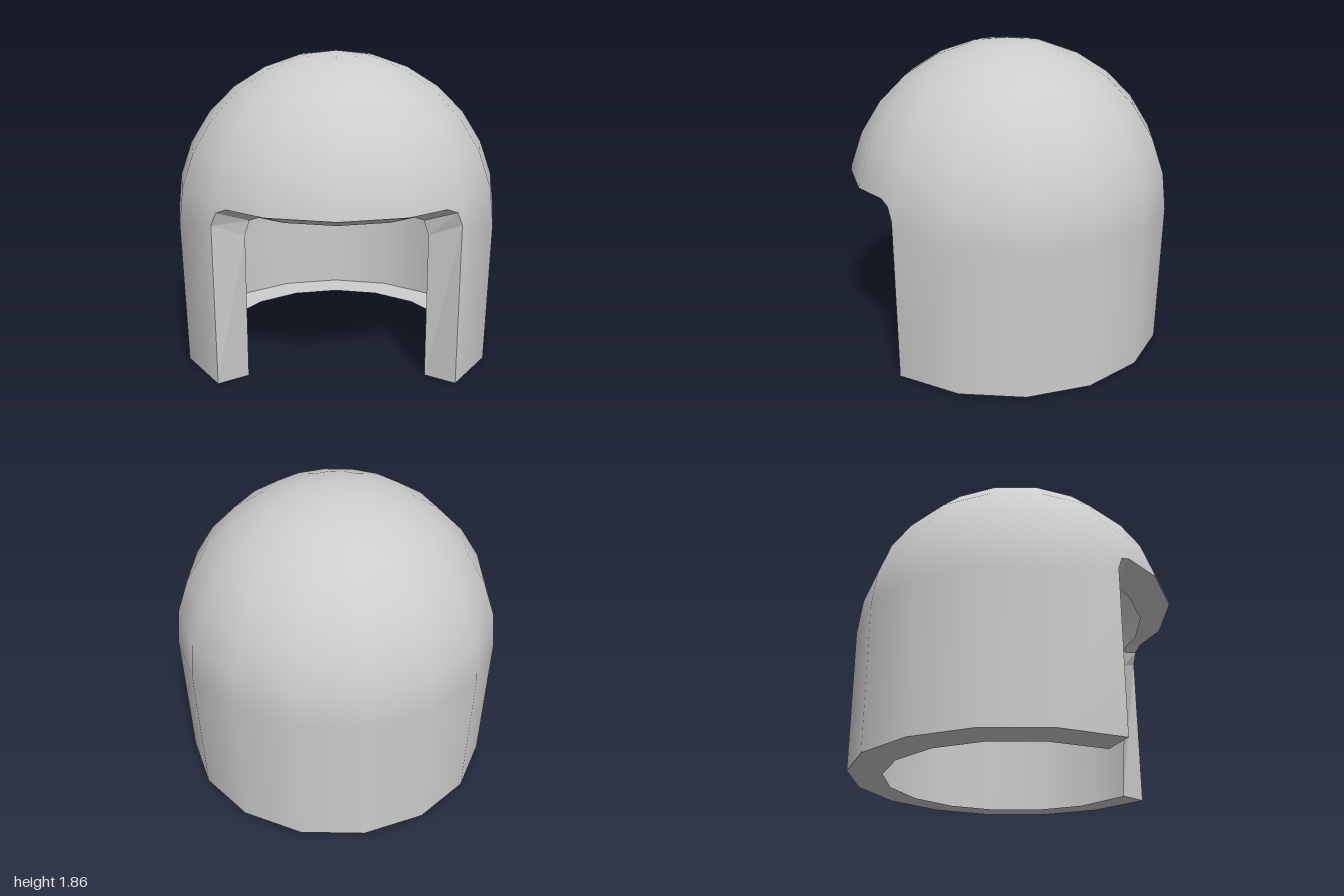
import * as THREE from 'three';

const SPRING = 0.87;               // height where the dome starts
const STEP = Math.PI / 8;          // sixteen-sided plan
const ROWS = 7;                    // dome rings
const DEPTH = 0.2;                 // width of the inward flange
const V = (x, y, z) => new THREE.Vector3(x, y, z);
const rad = THREE.MathUtils.degToRad;

// Shell profile as [radius, height], from the bottom edge to the crown
const PROFILE = [[0.982, 0.008]];
for (let i = 0; i <= ROWS; i++) {
  const e = (i / ROWS) * Math.PI / 2;
  PROFILE.push([i === ROWS ? 0 : Math.cos(e), SPRING + 0.99 * Math.sin(e)]);
}

// Half of the face opening: azimuth, edge point, flange offset
const HALF = [
  [45, [0.688, 0.965, 0.718], [-0.177, -0.075, -0.06]],
  [42, [0.657, 1.043, 0.737], [-0.174, -0.065, -0.075]],
  [38, [0.596, 1.07, 0.772], [-0.167, -0.07, -0.09]],
  [22.5, [0.378, 1.064, 0.909], [-0.09, -0.074, -0.16]],
  [0, [0, 1.062, 0.983], [0, -0.075, -0.185]],
];
const FOOT = [[0.686, 0.008, 0.712], [-0.166, -0.004, -0.112]];

// Edge point and its inner flange point, on the left (1) or right (-1) side
function rimPair(edge, offset, side) {
  const outer = V(edge[0] * side, edge[1], edge[2]);
  return { outer, inner: V(offset[0] * side, offset[1], offset[2]).add(outer) };
}

// Point on the shell, kept on the flat sides of the plan
function shellPoint(a, row) {
  const [r, y] = PROFILE[row];
  const off = a - (Math.floor(a / STEP + 1e-6) + 0.5) * STEP;
  const flat = r * Math.cos(STEP / 2) / Math.cos(off);
  return V(flat * Math.sin(a), y, flat * Math.cos(a) * 0.993 + 0.011);
}

// Columns of shell points: front ones start at the brow, back ones at the foot
const column = (a, firstRow) => {
  const points = [];
  for (let row = firstRow; row < PROFILE.length; row++) points.push(shellPoint(a, row));
  return { a, points };
};
const frontColumn = ([deg, edge, offset], side) => {
  const col = column(rad(deg * side), 1);
  col.rim = rimPair(edge, offset, side);
  col.points[0] = col.rim.outer;
  return col;
};
const FRONT = [
  ...HALF.map((h) => frontColumn(h, -1)),
  ...HALF.slice(0, -1).reverse().map((h) => frontColumn(h, 1)),
];
const BACK = [];
for (let k = 0; k <= 12; k++) {
  const a = rad(45) + k * STEP;
  const col = column(a, 0);
  if (k === 0 || k === 12) {
    const side = k === 0 ? 1 : -1;
    col.rim = rimPair(...FOOT, side);
    col.points[0] = col.rim.outer;
    col.points[1] = rimPair(HALF[0][1], HALF[0][2], side).outer;
  } else {
    const outer = col.points[0];
    col.rim = { outer, inner: V(-DEPTH * Math.sin(a), -0.008, -DEPTH * Math.cos(a)).add(outer) };
  }
  BACK.push(col);
}

// Smooth normal of the shell at an azimuth and height
function shellNormal(a, y) {
  const e = Math.asin(THREE.MathUtils.clamp((y - SPRING) / 0.99, 0, 1));
  return V(Math.sin(a) * Math.cos(e), Math.sin(e), Math.cos(a) * Math.cos(e));
}

function shellGeometry() {
  const pos = [], nor = [];
  const tri = (...corners) => {
    for (const [p, a] of corners) {
      pos.push(...p.toArray());
      nor.push(...shellNormal(a, p.y).toArray());
    }
  };
  for (const cols of [FRONT, BACK]) {
    for (let k = 0; k < cols.length - 1; k++) {
      const l = cols[k], r = cols[k + 1];
      for (let i = 0; i < l.points.length - 1; i++) {
        const a = [l.points[i], l.a], b = [r.points[i], r.a];
        const c = [r.points[i + 1], r.a], d = [l.points[i + 1], l.a];
        tri(a, b, c);
        if (i < l.points.length - 2) tri(a, c, d);
      }
    }
  }
  const g = new THREE.BufferGeometry();
  g.setAttribute('position', new THREE.Float32BufferAttribute(pos, 3));
  g.setAttribute('normal', new THREE.Float32BufferAttribute(nor, 3));
  return g;
}

// Flat-faced flange running along a list of edge pairs
function flangeGeometry(pairs) {
  const pos = [];
  for (let k = 0; k < pairs.length - 1; k++) {
    const p = pairs[k], q = pairs[k + 1];
    for (const v of [p.outer, p.inner, q.inner, p.outer, q.inner, q.outer]) pos.push(...v.toArray());
  }
  const g = new THREE.BufferGeometry();
  g.setAttribute('position', new THREE.Float32BufferAttribute(pos, 3));
  g.computeVertexNormals();
  return g;
}

export function createModel() {
  const group = new THREE.Group();
  group.name = 'helmet';
  const grey = new THREE.MeshStandardMaterial({ color: 0xcccccc, side: THREE.DoubleSide });
  grey.name = 'light grey';
  const add = (name, geometry) => {
    const mesh = new THREE.Mesh(geometry, grey);
    mesh.name = name;
    group.add(mesh);
  };
  const brow = FRONT.map((c) => c.rim);
  const bottom = BACK.map((c) => c.rim);
  add('shell', shellGeometry());
  add('bottomRim', flangeGeometry(bottom));
  add('browEdge', flangeGeometry(brow));
  add('leftCheekEdge', flangeGeometry([brow[brow.length - 1], bottom[0]]));
  add('rightCheekEdge', flangeGeometry([bottom[12], brow[0]]));
  return group;
}
